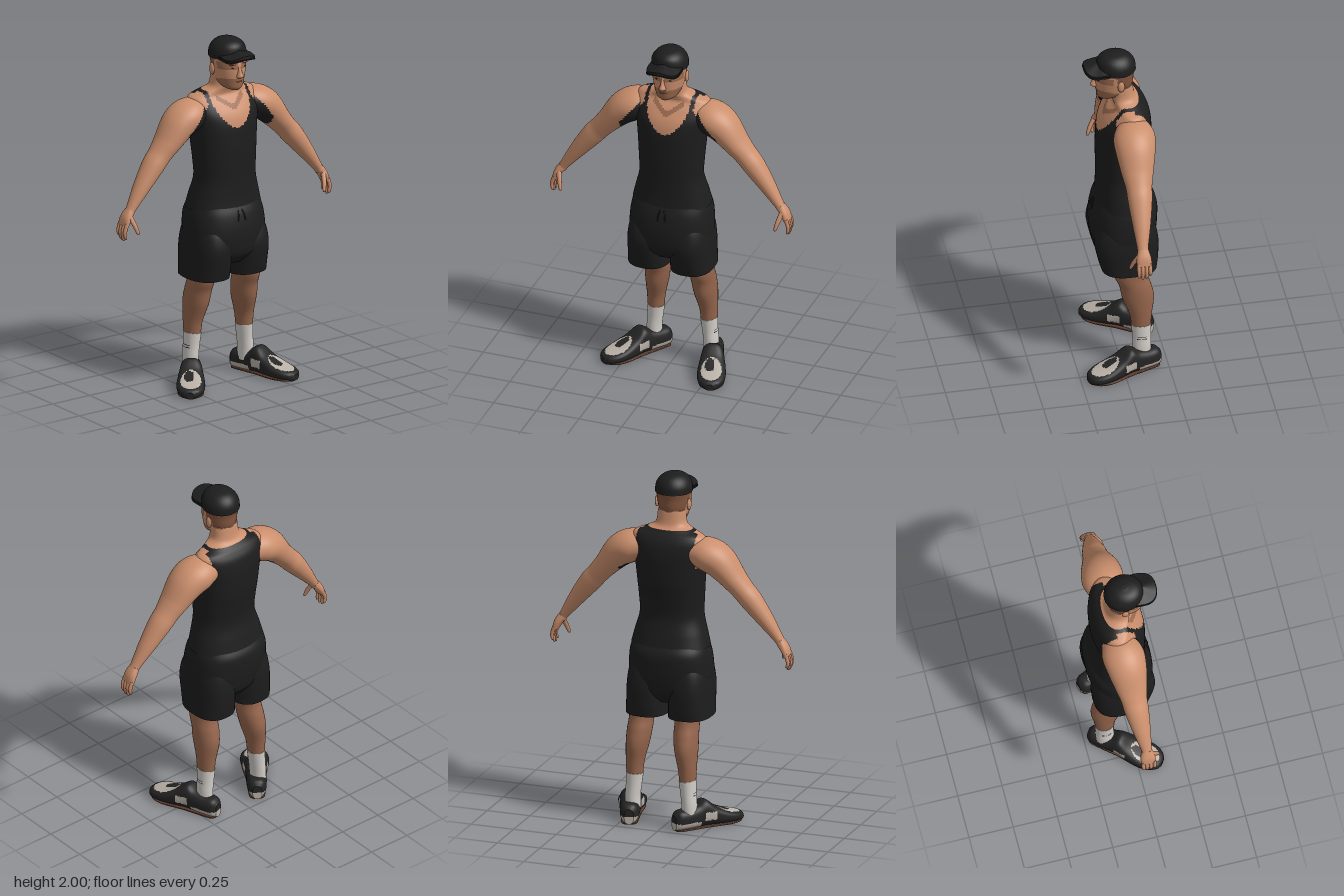
import * as THREE from 'three';

const flat = (name, color) => Object.assign(new THREE.MeshStandardMaterial({ color }), { name });
const SKIN = flat('skin', 0xcb8f6d);
const LEG = flat('tannedSkin', 0x95654c);
const HAIR = flat('hair', 0x84563f);
const STUBBLE = flat('stubble', 0x9c6a4e);
const CLOTH = flat('blackCloth', 0x1d1d1e);
const SHOE = flat('shoeBlack', 0x242424);
const PALE = flat('shoePale', 0xbab1a7);
const SOCK = flat('sockWhite', 0xd2cec9);
const SOLE = flat('soleBrown', 0x5f3d2e);
const DARK = flat('eyeDark', 0x2a1c16);

// Smooth closed skin through sections [x, y, z, sideRadius, depthRadius].
// pick(x, y, z) returns the material number of each cell.
function loft(name, mats, sections, { rings = 24, sides = 28, power = 2, pick = () => 0 } = {}) {
  const path = new THREE.CatmullRomCurve3(sections.map(s => new THREE.Vector3(s[0], s[1], s[2])), false, 'catmullrom');
  const size = new THREE.CatmullRomCurve3(sections.map(s => new THREE.Vector3(s[3], s[4], 0)), false, 'catmullrom');
  const steps = [[0, 0], [0, 1]];
  for (let i = 0; i <= rings; i++) steps.push([i / rings, 1]);
  steps.push([1, 1], [1, 0]);
  const pos = [], zAxis = new THREE.Vector3(0, 0, 1);
  const round = v => Math.sign(v) * Math.abs(v) ** (2 / power);
  for (const [t, k] of steps) {
    const c = path.getPoint(t), r = size.getPoint(t);
    const u = zAxis.clone().cross(path.getTangent(t)).normalize();
    for (let j = 0; j < sides; j++) {
      const a = j / sides * Math.PI * 2;
      const p = c.clone().addScaledVector(u, round(Math.cos(a)) * r.x * k);
      pos.push(p.x, p.y, p.z + round(Math.sin(a)) * r.y * k);
    }
  }
  const faces = [mats].flat().map(() => []);
  for (let i = 0; i < steps.length - 1; i++) {
    for (let j = 0; j < sides; j++) {
      const a = i * sides + j, b = i * sides + (j + 1) % sides, d = a + sides, c = b + sides;
      const mid = [0, 1, 2].map(n => (pos[a * 3 + n] + pos[b * 3 + n] + pos[c * 3 + n] + pos[d * 3 + n]) / 4);
      faces[pick(...mid)].push(a, b, c, a, c, d);
    }
  }
  const geo = new THREE.BufferGeometry();
  geo.setAttribute('position', new THREE.Float32BufferAttribute(pos, 3));
  geo.setIndex(faces.flat());
  let start = 0;
  faces.forEach((f, n) => { geo.addGroup(start, f.length, n); start += f.length; });
  geo.computeVertexNormals();
  const mesh = new THREE.Mesh(geo, mats);
  mesh.name = name;
  return mesh;
}

function group(name, ...parts) {
  const g = new THREE.Group();
  g.name = name;
  return parts.length ? g.add(...parts) : g;
}

// Level section from its half width, front z and back z
const level = (y, rx, front, back) => [0, y, (front + back) / 2, rx, (front - back) / 2];
// Mirrors sections to side s and shifts them
const place = (sections, s, dx = 0, dz = 0) => sections.map(([x, y, z, a, b]) => [s * (x + dx), y, z + dz, a, b]);

function torso() {
  const pick = (x, y, z) => {
    const ax = Math.abs(x);
    if (z > -0.03 && ax < 0.085 && Math.abs(y - 1.605 - 0.7 * ax) < 0.014) return 2; // collar shade
    if (y < 1.5) return 0;
    if (z < -0.075) return y < 1.7 && ax < 0.172 ? 0 : 1;
    if (y > 1.645) return ax > 0.122 && ax < 0.145 && y < 1.7 ? 0 : 1;
    const neck = 0.118 * Math.sqrt(Math.min(1, (y - 1.5) / 0.11));
    return ax > neck && ax < 0.205 - Math.max(0, y - 1.56) * 0.8 ? 0 : 1;
  };
  return loft('torsoWithTankTop', [CLOTH, SKIN, STUBBLE], [
    level(1.03, 0.222, 0.118, -0.202), level(1.1, 0.205, 0.112, -0.185), level(1.2, 0.18, 0.11, -0.162),
    level(1.3, 0.183, 0.112, -0.17), level(1.4, 0.19, 0.112, -0.185), level(1.5, 0.2, 0.106, -0.19),
    level(1.57, 0.212, 0.088, -0.188), level(1.63, 0.215, 0.052, -0.176), level(1.67, 0.2, 0.02, -0.152),
    level(1.695, 0.14, 0.022, -0.128), level(1.725, 0.088, 0.033, -0.102), level(1.8, 0.078, 0.04, -0.088),
  ], { rings: 130, sides: 112, power: 2.25, pick });
}

function head() {
  const pick = (x, y, z) => {
    const ax = Math.abs(x);
    if ((z < -0.03 && y > 1.79) || (z < 0.012 && y > 1.85)) return 1;
    if (z > 0.01 && y < 1.787 - Math.max(0, 0.05 - z) * 0.3) return 2;
    return z > 0.03 && ax > 0.012 && y > 1.84 && y < 1.885 ? 2 : 0;
  };
  const g = group('head');
  g.add(loft('face', [SKIN, HAIR, STUBBLE], [
    [0, 1.715, 0.062, 0.028, 0.034], [0, 1.732, 0.045, 0.056, 0.062], [0, 1.765, 0.018, 0.075, 0.094],
    [0, 1.81, 0.012, 0.086, 0.105], [0, 1.86, 0.01, 0.094, 0.107], [0, 1.92, 0, 0.095, 0.104], [0, 1.96, 0, 0.06, 0.07],
  ], { rings: 48, sides: 64, pick }));
  g.add(loft('nose', SKIN, [
    [0, 1.787, 0.112, 0.012, 0.008], [0, 1.8, 0.12, 0.02, 0.024], [0, 1.825, 0.114, 0.012, 0.021], [0, 1.86, 0.106, 0.009, 0.012],
  ], { rings: 10, sides: 14 }));
  const oval = (name, mat, x, y, z, a, b, c) => {
    const m = new THREE.Mesh(new THREE.SphereGeometry(1, 16, 10).scale(a, b, c), mat);
    m.name = name;
    m.position.set(x, y, z);
    g.add(m);
  };
  for (const s of [1, -1]) {
    oval('ear', SKIN, s * 0.094, 1.828, -0.012, 0.011, 0.034, 0.02);
    oval('eye', DARK, s * 0.036, 1.85, 0.107, 0.012, 0.004, 0.004);
    oval('eyebrow', HAIR, s * 0.038, 1.872, 0.107, 0.022, 0.006, 0.008);
  }
  oval('mouth', HAIR, 0, 1.767, 0.109, 0.024, 0.004, 0.005);
  return g;
}

function cap() {
  const crown = loft('capCrown', CLOTH, [
    [0, 1.895, 0, 0.103, 0.11], [0, 1.935, 0.002, 0.1, 0.107], [0, 1.968, 0.006, 0.082, 0.092],
    [0, 1.99, 0.006, 0.052, 0.06], [0, 1.999, 0.004, 0.012, 0.014],
  ]);
  // Brim sloping forward and bent down towards both sides
  const brim = loft('capBrim', CLOTH, [[0, 1.932, 0.085, 0.096, 0.1], [0, 1.95, 0.085, 0.094, 0.096]],
    { rings: 2, sides: 48, power: 2.6 });
  const p = brim.geometry.attributes.position;
  for (let i = 0; i < p.count; i++) p.setY(i, p.getY(i) - 4 * p.getX(i) ** 2 - 0.2 * Math.max(0, p.getZ(i) - 0.09));
  brim.geometry.computeVertexNormals();
  return group('cap', crown, brim);
}

function arm(s) {
  const g = group(s > 0 ? 'leftArm' : 'rightArm');
  // Black cells in the armpit are the edge of the tank top
  const pick = (x, y, z) => {
    const ax = Math.abs(x);
    return z > -0.115 && ax < 0.285 && y < 1.63 - (ax - 0.17) * 1.25 ? 1 : 0;
  };
  g.add(loft('arm', [SKIN, CLOTH], place([
    [0.14, 1.585, -0.065, 0.075, 0.09], [0.22, 1.572, -0.06, 0.092, 0.115], [0.292, 1.532, -0.055, 0.09, 0.11],
    [0.375, 1.44, -0.05, 0.068, 0.088], [0.425, 1.383, -0.048, 0.061, 0.073], [0.475, 1.325, -0.045, 0.06, 0.067],
    [0.556, 1.22, -0.038, 0.045, 0.05], [0.628, 1.118, -0.03, 0.027, 0.031], [0.645, 1.092, -0.03, 0.026, 0.031],
  ], s), { rings: 90, sides: 64, pick }));
  g.add(loft('palm', SKIN, place([
    [0.635, 1.11, -0.03, 0.025, 0.03], [0.663, 1.07, -0.03, 0.023, 0.041], [0.68, 1.03, -0.03, 0.016, 0.042],
  ], s), { rings: 10, sides: 20, power: 2.4 }));
  [-0.061, -0.04, -0.019, 0.002].forEach((z, i) => {
    const tip = [0.965, 0.95, 0.947, 0.957][i];
    g.add(loft('finger', SKIN, place([
      [0.678, 1.045, z, 0.012, 0.011], [0.692, 1.0, z, 0.011, 0.011],
      [0.688, tip + 0.012, z, 0.009, 0.009], [0.683, tip, z, 0.004, 0.004],
    ], s), { rings: 9, sides: 10 }));
  });
  g.add(loft('thumb', SKIN, place([
    [0.655, 1.085, -0.008, 0.016, 0.016], [0.64, 1.035, 0.022, 0.013, 0.013],
    [0.63, 0.997, 0.036, 0.01, 0.01], [0.627, 0.985, 0.039, 0.005, 0.005],
  ], s), { rings: 9, sides: 10 }));
  return g;
}

function shorts() {
  const g = group('shorts', loft('shortsSeat', CLOTH, [
    level(0.715, 0.1, 0.085, -0.15), level(0.77, 0.2, 0.134, -0.195), level(0.84, 0.232, 0.148, -0.213),
    level(0.92, 0.233, 0.148, -0.221), level(1.0, 0.224, 0.134, -0.219), level(1.06, 0.205, 0.11, -0.188),
  ], { rings: 32, sides: 48, power: 2.4 }));
  for (const s of [1, -1]) {
    g.add(loft('shortsLeg', CLOTH, place([
      [0.124, 0.632, -0.047, 0.12, 0.153], [0.123, 0.7, -0.042, 0.117, 0.166],
      [0.121, 0.8, -0.034, 0.116, 0.177], [0.115, 0.88, -0.035, 0.11, 0.165], [0.1, 0.95, -0.04, 0.09, 0.14],
    ], s), { sides: 36, power: 2.5 }));
    g.add(loft('drawstring', CLOTH, [
      [s * 0.012, 1.03, 0.122, 0.004, 0.005], [s * 0.02, 1, 0.134, 0.004, 0.005], [s * 0.023, 0.97, 0.14, 0.004, 0.005],
    ], { rings: 6, sides: 8 }));
  }
  return g;
}

function leg(s, dx, dz) {
  const stripes = (x, y, z) =>
    s * x - dx > 0.2 && Math.abs(z - dz + 0.1) < 0.03 && (Math.abs(y - 0.198) < 0.002 || Math.abs(y - 0.211) < 0.002) ? 1 : 0;
  return group(s > 0 ? 'leftLeg' : 'rightLeg',
    loft('bareLeg', LEG, place([
      [0.155, 0.75, -0.05, 0.075, 0.09], [0.166, 0.61, -0.05, 0.067, 0.091], [0.17, 0.53, -0.075, 0.068, 0.088],
      [0.177, 0.45, -0.09, 0.063, 0.088], [0.187, 0.35, -0.102, 0.051, 0.063], [0.19, 0.26, -0.104, 0.044, 0.052],
    ], s, dx, dz), { rings: 32 }),
    loft('sock', [SOCK, DARK], place([
      [0.189, 0.28, -0.104, 0.048, 0.056], [0.195, 0.2, -0.106, 0.043, 0.052], [0.2, 0.14, -0.106, 0.042, 0.052],
      [0.2, 0.07, -0.106, 0.042, 0.05],
    ], s, dx, dz), { rings: 70, pick: stripes }));
}

function shoe(name, x, z, turn) {
  // Sections run from heel to toe: [length, half width, height]
  const run = (list, base) => list.map(([l, w, h]) => [0, l, -base - h / 2, w, h / 2]);
  const ring = (px, l, w, len) => (px / w) ** 2 + (l / len) ** 2 < 1;
  const pick = (px, l, pz) => {
    const h = -pz;
    if (h < 0.045 && h > 0.012 && l < 0.15) return 1;
    if (h > 0.035 && ring(px, l - 0.335, 0.058, 0.08) && !ring(px + 0.01, l - 0.305, 0.026, 0.045)) return 1;
    return Math.abs(px) > 0.04 && h > 0.045 && h < 0.09 && l > 0.17 && l < 0.24 ? 1 : 0;
  };
  const upper = loft('shoeUpper', [SHOE, PALE], run([
    [0, 0.026, 0.085], [0.025, 0.047, 0.108], [0.08, 0.055, 0.114], [0.14, 0.057, 0.128], [0.19, 0.061, 0.152],
    [0.25, 0.072, 0.11], [0.32, 0.079, 0.078], [0.38, 0.072, 0.06], [0.42, 0.05, 0.048], [0.437, 0.022, 0.034],
  ], 0.004), { rings: 80, sides: 64, power: 2.6, pick });
  const sole = loft('shoeSole', SOLE, run([
    [0.008, 0.025, 0.012], [0.03, 0.043, 0.012], [0.12, 0.051, 0.012], [0.2, 0.056, 0.012],
    [0.32, 0.073, 0.012], [0.39, 0.06, 0.012], [0.43, 0.022, 0.012],
  ], 0), { rings: 30, sides: 24, power: 5 });
  const g = group(name, upper, sole);
  for (const m of g.children) m.geometry.rotateX(Math.PI / 2);
  g.position.set(x, 0, z);
  g.rotation.y = turn;
  return g;
}

export function createModel() {
  return group('standingMan', torso(), head(), cap(), arm(1), arm(-1), shorts(),
    leg(1, 0, 0), leg(-1, -0.055, -0.037),
    shoe('leftShoe', 0.185, -0.207, 0.3), shoe('rightShoe', -0.083, -0.217, -0.64));
}
